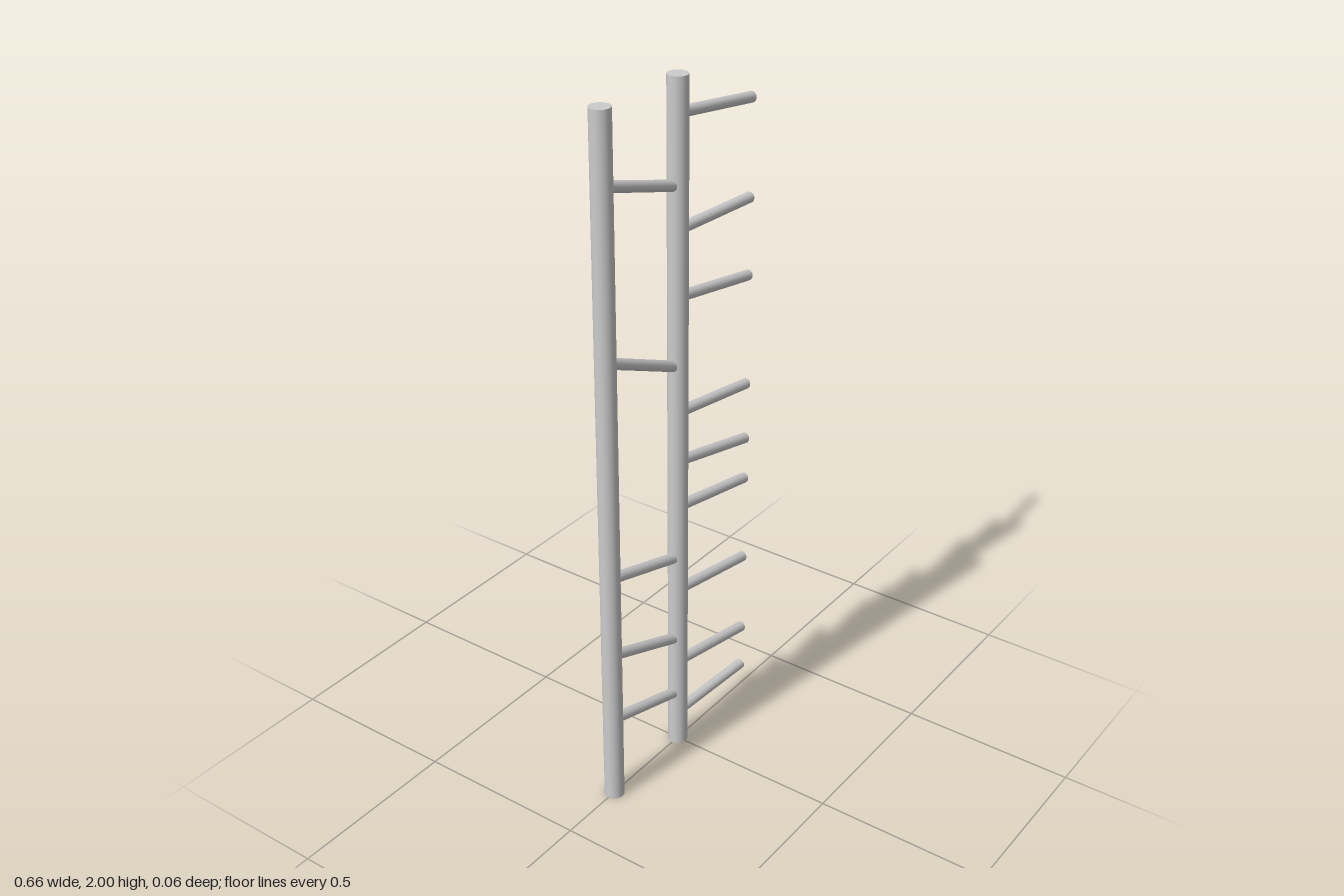
import * as THREE from 'three';

const POST_RADIUS = 0.028, RUNG_RADIUS = 0.015, HEIGHT = 2;
const LEFT_X = -0.302, MID_X = 0.001;

export function createModel() {
  const model = new THREE.Group();
  model.name = 'pegLadder';
  const material = new THREE.MeshStandardMaterial({ color: 0xcccccc });

  // Straight round bar between two points in the x-y plane
  function bar(name, x0, y0, x1, y1, radius) {
    const a = new THREE.Vector3(x0, y0, 0), b = new THREE.Vector3(x1, y1, 0);
    const dir = b.clone().sub(a);
    const mesh = new THREE.Mesh(
      new THREE.CylinderGeometry(radius, radius, dir.length(), 32), material);
    mesh.name = name;
    mesh.position.copy(a).add(b).multiplyScalar(0.5);
    mesh.quaternion.setFromUnitVectors(new THREE.Vector3(0, 1, 0), dir.normalize());
    model.add(mesh);
  }

  // Upright posts
  bar('outerPost', LEFT_X, 0, LEFT_X, HEIGHT, POST_RADIUS);
  bar('middlePost', MID_X, 0, MID_X, HEIGHT, POST_RADIUS);

  // Sloping rungs joining the posts: [height at outer post, height at middle post]
  const rungs = [[1.8, 1.72], [1.339, 1.223], [0.71, 0.633], [0.464, 0.364], [0.251, 0.174]];
  rungs.forEach(([y0, y1], i) =>
    bar(`rung${i + 1}`, LEFT_X + 0.018, y0, MID_X - 0.018, y1, RUNG_RADIUS));

  // Free pegs on the other side: [height at middle post, height at tip]
  const pegs = [
    [1.9, 1.856], [1.597, 1.583], [1.411, 1.36], [1.077, 1.032], [0.928, 0.859],
    [0.786, 0.729], [0.516, 0.462], [0.271, 0.212], [0.096, 0.075],
  ];
  pegs.forEach(([y0, y1], i) =>
    bar(`peg${i + 1}`, MID_X + 0.018, y0, 0.323, y1, RUNG_RADIUS));

  return model;
}
